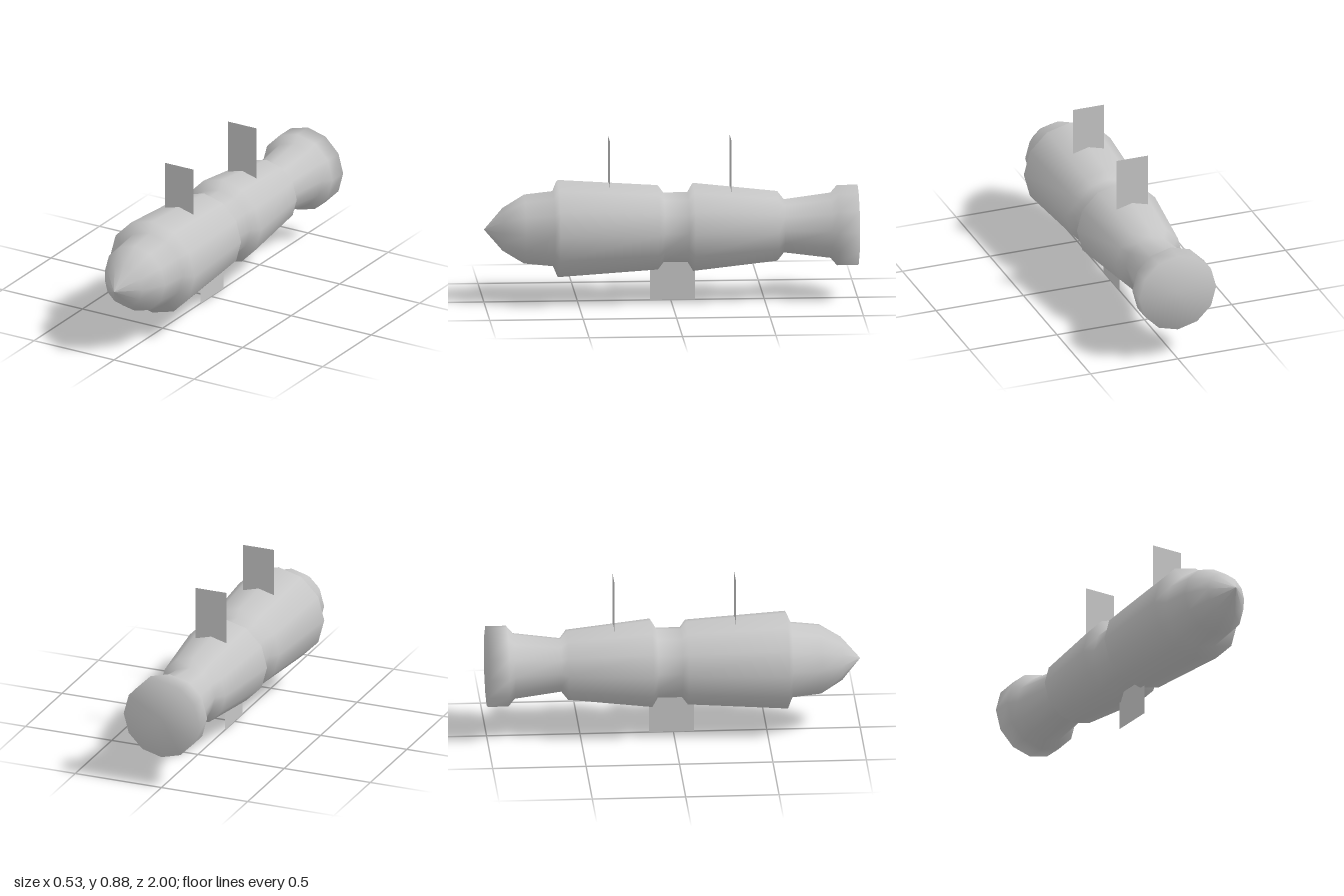
import * as THREE from 'three';

export function createModel() {
  const model = new THREE.Group();
  const grey = new THREE.MeshStandardMaterial({ color: 0xc6c6c6, side: THREE.DoubleSide });
  grey.name = 'light grey';

  const add = (name, geometry, x, y, z) => {
    const mesh = new THREE.Mesh(geometry, grey);
    mesh.name = name;
    mesh.position.set(x, y, z);
    model.add(mesh);
    return mesh;
  };

  // Twelve-sided body: [radius, z] from the closed tail to the pointed nose
  const profile = [
    [0, -1], [0.219, -1], [0.219, -0.89], [0.178, -0.855], // tail cup
    [0.145, -0.605], [0.19, -0.57],                        // waist
    [0.24, -0.12], [0.19, -0.09],                          // rear barrel
    [0.19, 0.04], [0.23, 0.07],                            // neck
    [0.265, 0.605], [0.205, 0.63],                         // front barrel
    [0.188, 0.785], [0.117, 0.9], [0, 1],                  // nose cone
  ].map(([r, z]) => new THREE.Vector2(r, z));
  const body = new THREE.LatheGeometry(profile, 12);
  body.rotateX(Math.PI / 2);
  add('body', body, 0, 0.395, 0);

  // Two upright tabs across the top, rooted inside the barrels
  const tab = new THREE.PlaneGeometry(0.178, 0.3);
  add('frontTopTab', tab, 0, 0.73, 0.33);
  add('rearTopTab', tab, 0, 0.73, -0.32);

  // Keel plate along the body underneath the neck
  const keel = new THREE.PlaneGeometry(0.24, 0.26);
  keel.rotateY(Math.PI / 2);
  add('keelPlate', keel, 0, 0.13, -0.01);

  return model;
}
